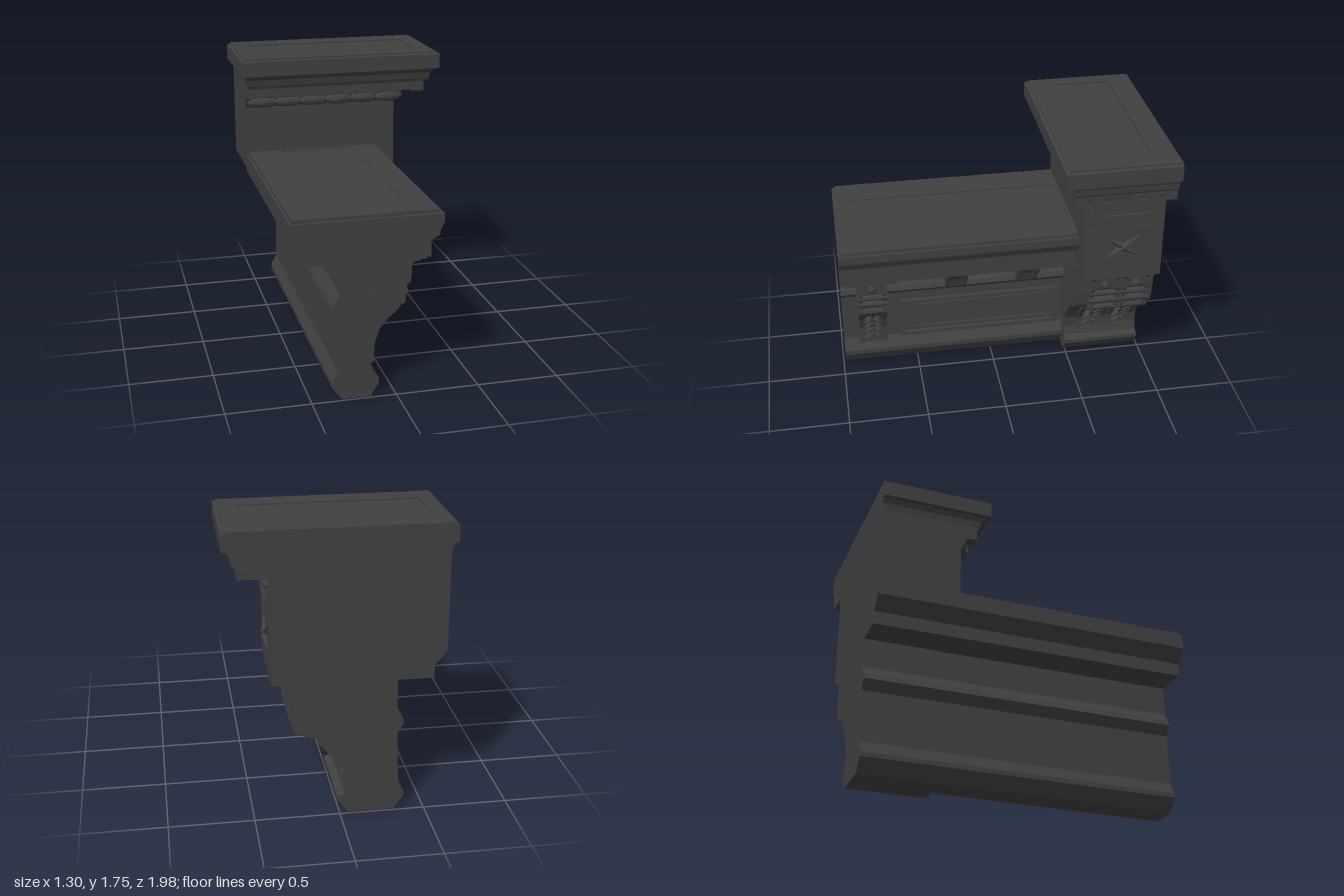
import * as THREE from 'three';

const BACK = -0.985, FRONT = 0.985, PIER = -0.49;

export function createModel() {
  const root = new THREE.Group();
  const mat = new THREE.MeshStandardMaterial({ color: 0x404040, flatShading: true });
  const add = (name, geo, parent = root) => {
    const m = new THREE.Mesh(geo, mat);
    m.name = name;
    parent.add(m);
    return m;
  };
  const group = (name) => {
    const g = new THREE.Group();
    g.name = name;
    root.add(g);
    return g;
  };
  const box = (name, x0, x1, y0, y1, z0, z1, parent) =>
    add(name, new THREE.BoxGeometry(x1 - x0, y1 - y0, z1 - z0)
      .translate((x0 + x1) / 2, (y0 + y1) / 2, (z0 + z1) / 2), parent);
  // x,y profile run along z
  const run = (name, pts, z0, z1, parent) => {
    const shape = new THREE.Shape(pts.map(p => new THREE.Vector2(...p)));
    return add(name, new THREE.ExtrudeGeometry(shape, { depth: z1 - z0, bevelEnabled: false })
      .translate(0, 0, z0), parent);
  };
  // rectangular ring: [a0, a1, b0, b1] outside and inside
  const ring = (o, i, depth) => {
    const corners = r => [[r[0], r[2]], [r[1], r[2]], [r[1], r[3]], [r[0], r[3]]].map(p => new THREE.Vector2(...p));
    const s = new THREE.Shape(corners(o));
    s.holes.push(new THREE.Path(corners(i).reverse()));
    return new THREE.ExtrudeGeometry(s, { depth, bevelEnabled: false });
  };
  // ring lying flat (x, z) and ring standing on a +x face (z, y)
  const flatRing = (name, o, i, y, d) => {
    const f = r => [r[0], r[1], -r[3], -r[2]];
    return add(name, ring(f(o), f(i), d).rotateX(-Math.PI / 2).translate(0, y, 0));
  };
  const sideRing = (name, o, i, x, d) => {
    const f = r => [-r[1], -r[0], r[2], r[3]];
    return add(name, ring(f(o), f(i), d).rotateY(Math.PI / 2).translate(x, 0, 0));
  };
  // stacked rectangles [y, x0, x1, z1], all flush at the back
  const stack = (name, rows) => {
    const pos = [];
    const loops = rows.map(([y, x0, x1, z1]) => [[x0, y, z1], [x1, y, z1], [x1, y, BACK], [x0, y, BACK]]);
    const quad = (a, b, c, d) => pos.push(...a, ...b, ...c, ...a, ...c, ...d);
    for (let r = 0; r + 1 < loops.length; r++)
      for (let k = 0; k < 4; k++) {
        const n = (k + 1) % 4;
        quad(loops[r][k], loops[r][n], loops[r + 1][n], loops[r + 1][k]);
      }
    quad(...loops[loops.length - 1]);
    quad(...loops[0].slice().reverse());
    const g = new THREE.BufferGeometry();
    g.setAttribute('position', new THREE.Float32BufferAttribute(pos, 3));
    g.computeVertexNormals();
    return add(name, g);
  };

  // long moulded wall
  run('wall', [[-0.32, 0], [-0.15, 0], [-0.1, 0.08], [-0.1, 0.11], [-0.15, 0.18], [-0.155, 0.51], [-0.1, 0.56],
    [-0.11, 0.59], [-0.15, 0.63], [-0.15, 0.84], [-0.33, 0.84], [-0.33, 0.65], [-0.36, 0.6], [-0.375, 0.56],
    [-0.335, 0.5], [-0.345, 0.18], [-0.38, 0.11], [-0.38, 0.08]], BACK, FRONT);

  // ledge and its top
  run('ledge', [[-0.54, 0.83], [0.2, 0.83], [0.2, 0.93], [0.25, 0.955], [0.25, 0.98], [0.275, 1.03], [0.275, 1.08],
    [-0.61, 1.08], [-0.61, 0.99], [-0.54, 0.91]], PIER - 0.05, FRONT);
  flatRing('ledgeTopBorder', [-0.595, 0.255, PIER, 0.965], [-0.39, 0.1, PIER + 0.02, 0.87], 1.08, 0.02);
  box('ledgeTopPanel', -0.39, 0.1, 1.07, 1.092, PIER, 0.87);

  // framed panel on the wall
  sideRing('panelOuterFrame', [-0.46, 0.6, 0.18, 0.455], [-0.43, 0.57, 0.205, 0.43], -0.16, 0.035);
  sideRing('panelInnerFrame', [-0.41, 0.55, 0.22, 0.415], [-0.38, 0.52, 0.24, 0.395], -0.16, 0.025);

  // pier block, plinth and flared core under it
  run('pierBlock', [[-0.54, 0.83], [0.39, 0.84], [0.39, 1.41], [-0.61, 1.41], [-0.61, 0.99], [-0.54, 0.91]], BACK, PIER);
  run('pierBase', [[-0.2, 0], [-0.05, 0], [0.015, 0.085], [0.015, 0.11], [-0.03, 0.125], [-0.04, 0.18], [-0.2, 0.18]],
    BACK, PIER);
  run('pierCore', [[-0.2, 0.17], [-0.05, 0.17], [-0.04, 0.26], [0.0, 0.33], [0.1, 0.45], [0.11, 0.48], [0.22, 0.52],
    [0.25, 0.56], [0.27, 0.68], [0.28, 0.84], [-0.2, 0.84]], BACK, PIER);
  box('pierNecking', -0.2, 0.335, 0.8, 0.84, BACK, PIER - 0.03);

  // ornament on the pier's outer face
  sideRing('plaqueFrame', [-0.92, -0.55, 1.27, 1.385], [-0.89, -0.58, 1.295, 1.36], 0.385, 0.02);
  box('faceLine', 0.38, 0.394, 1.195, 1.202, BACK, PIER);
  for (const s of [-1, 1]) {
    const arm = add('crossedLeaf', new THREE.OctahedronGeometry(1));
    arm.scale.set(0.03, 0.025, 0.16);
    arm.position.set(0.388, 1.065, -0.735);
    arm.rotation.x = s * 0.62;
  }

  // console brackets: plain body, raised edges, leaf ribs and a rosette
  const tall = [[-0.03, 0.18], [-0.025, 0.26], [0.03, 0.34], [0.12, 0.44], [0.13, 0.48], [0.24, 0.515],
    [0.27, 0.55], [0.285, 0.65], [0.305, 0.7], [0.31, 0.77], [0.34, 0.82]];
  const slim = [[-0.105, 0.16], [-0.1, 0.28], [-0.07, 0.37], [-0.02, 0.43], [0.04, 0.48], [0.085, 0.55],
    [0.09, 0.62], [0.12, 0.69], [0.12, 0.78]];
  const bracket = (name, edge, z0, z1) => {
    const g = group(name), top = edge[edge.length - 1][1];
    const closed = d => [[-0.18, edge[0][1]], ...edge.map(([x, y]) => [x - d, y]), [-0.18, top]];
    run('body', closed(0.018), z0, z1, g);
    for (const z of [z0, z1 - 0.025]) run('raisedEdge', closed(0), z, z + 0.025, g);
    const mid = (z0 + z1) / 2, w = (z1 - z0) / 2 - 0.03;
    const at = y => {
      const k = Math.max(1, edge.findIndex(p => p[1] >= y));
      const [a, b] = [edge[k - 1], edge[k]];
      return a[0] + (b[0] - a[0]) * (y - a[1]) / (b[1] - a[1]);
    };
    for (let i = 0; i < 5; i++)
      for (const s of [-1, 1]) {
        const y = 0.22 + i * 0.045;
        const leaf = add('leafRib', new THREE.OctahedronGeometry(1), g);
        leaf.scale.set(0.02, 0.014, w * 0.62);
        leaf.position.set(at(y) - 0.01, y, mid + s * w * 0.5);
        leaf.rotation.x = s * 0.5;
      }
    for (const y of [0.535, 0.6, 0.66]) {
      const roll = add('leafRoll', new THREE.CylinderGeometry(0.024, 0.024, z1 - z0 + 0.01, 8).rotateX(Math.PI / 2), g);
      roll.position.set(at(y) - 0.015, y, mid);
    }
    const rosette = add('rosette', new THREE.SphereGeometry(0.028, 8, 5), g);
    rosette.position.set(at(0.73) - 0.012, 0.73, mid);
  };
  bracket('pierBracketFront', tall, -0.76, -0.575);
  bracket('pierBracketBack', tall, -0.95, -0.78);
  bracket('frontBracket', slim, 0.7, 0.88);

  // stepped caps over the ledge brackets
  const bracketCap = (zc, half, x1) => {
    box('bracketCapUpper', -0.17, x1 + 0.06, 0.805, 0.835, zc - half, zc + half);
    box('bracketCapMiddle', -0.17, x1 + 0.03, 0.785, 0.805, zc - half + 0.025, zc + half - 0.025);
    box('bracketCapLower', -0.17, x1, 0.765, 0.785, zc - half + 0.05, zc + half - 0.05);
  };
  bracketCap(0.79, 0.16, 0.125);

  // short brackets
  for (const zc of [0.235, -0.235]) {
    bracketCap(zc, 0.125, 0.02);
    run('shortBracket', [[-0.16, 0.57], [-0.09, 0.57], [-0.07, 0.63], [-0.03, 0.67], [0.0, 0.72], [0.0, 0.77],
      [-0.16, 0.77]], zc - 0.04, zc + 0.04);
    for (const s of [-1, 1])
      run('shortBracketEdge', [[-0.16, 0.57], [-0.08, 0.57], [-0.055, 0.63], [-0.015, 0.66], [0.015, 0.72],
        [0.015, 0.77], [-0.16, 0.77]], zc + s * 0.055 - 0.015, zc + s * 0.055 + 0.015);
  }

  // cornice
  stack('cornice', [[1.4, -0.61, 0.39, -0.49], [1.47, -0.61, 0.41, -0.45], [1.475, -0.61, 0.5, -0.43],
    [1.535, -0.61, 0.5, -0.43], [1.54, -0.61, 0.575, -0.385], [1.56, -0.61, 0.6, -0.375], [1.6, -0.615, 0.605, -0.365],
    [1.63, -0.63, 0.62, -0.34], [1.635, -0.65, 0.65, -0.31], [1.73, -0.65, 0.65, -0.31], [1.735, -0.635, 0.635, -0.325]]);
  flatRing('corniceTopBorder', [-0.63, 0.63, BACK, -0.33], [-0.54, 0.52, -0.84, -0.465], 1.733, 0.012);

  // dentils along the front and the outer side
  for (let i = 0; i < 8; i++) {
    const x = -0.57 + i * 0.157;
    box('dentil', x - 0.04, x + 0.04, 1.475, 1.54, -0.45, -0.39);
  }
  for (let i = 0; i < 5; i++) {
    const z = -0.53 - i * 0.107;
    box('dentil', 0.48, 0.57, 1.475, 1.54, z - 0.03, z + 0.03);
  }

  // leaf band under the dentils
  const leafBud = (x, z, sx, sz) => {
    const m = add('leafBand', new THREE.SphereGeometry(1, 8, 6));
    m.scale.set(sx, 0.035, sz);
    m.position.set(x, 1.435, z);
  };
  for (let i = 0; i < 6; i++) leafBud(-0.5 + i * 0.168, -0.465, 0.105, 0.035);
  for (let i = 0; i < 4; i++) leafBud(0.395, -0.54 - i * 0.125, 0.035, 0.075);

  return root;
}
